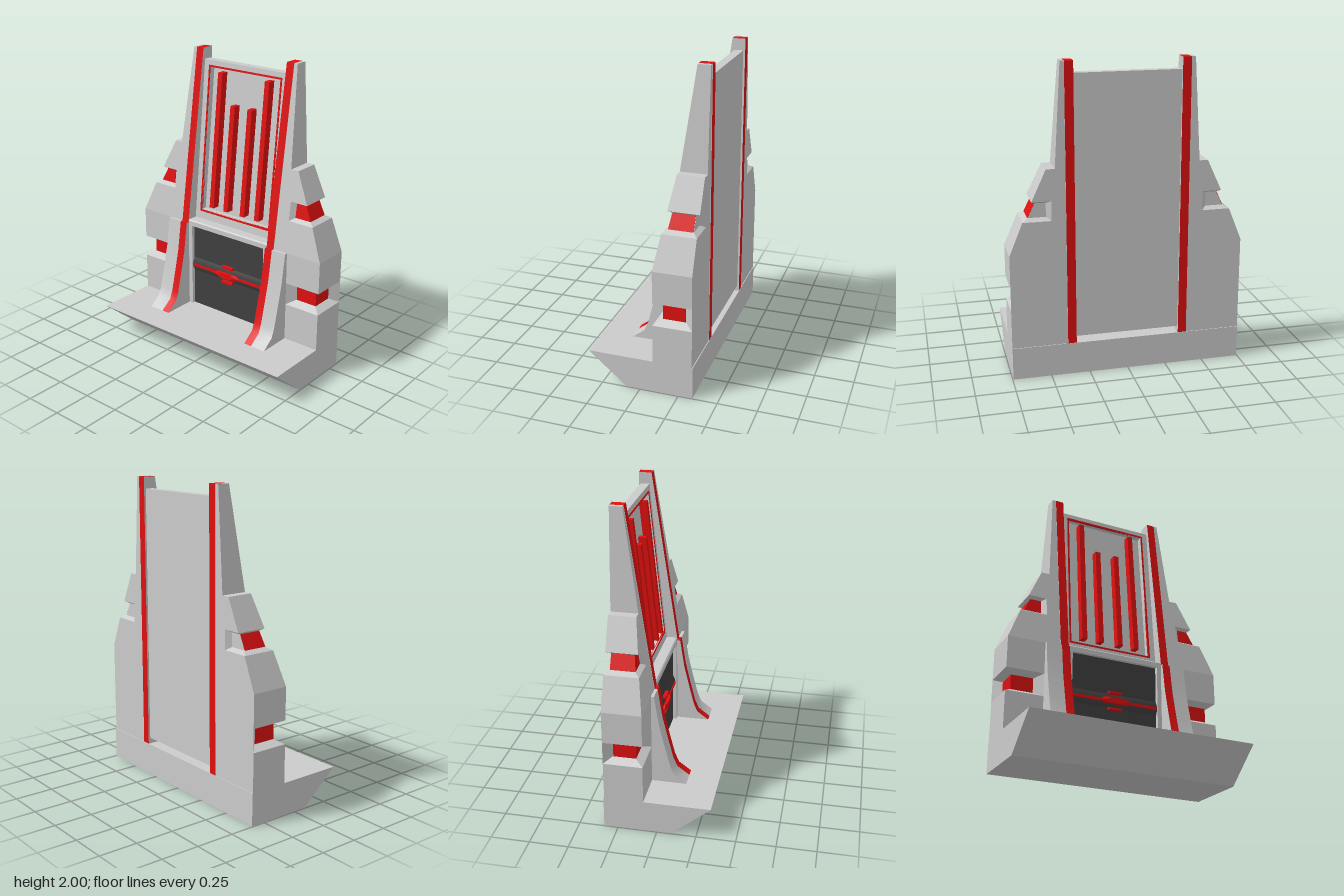
import * as THREE from 'three';
import { toCreasedNormals } from 'three/addons/utils/BufferGeometryUtils.js';

const grey = new THREE.MeshStandardMaterial({ color: 0xcccccc });
const red = new THREE.MeshStandardMaterial({ color: 0xe01010 });
const dark = new THREE.MeshStandardMaterial({ color: 0x404040 });
const BACK = -0.335;

function add(parent, name, geometry, material) {
  const mesh = new THREE.Mesh(geometry, material);
  mesh.name = name;
  parent.add(mesh);
  return mesh;
}

// Extrudes a [z, y] profile along x from x0 to x1
function prism(profile, x0, x1) {
  const shape = new THREE.Shape(profile.map(([z, y]) => new THREE.Vector2(z, y)));
  const geo = new THREE.ExtrudeGeometry(shape, { depth: x1 - x0, bevelEnabled: false });
  geo.rotateY(-Math.PI / 2).translate(x1, 0, 0);
  return toCreasedNormals(geo, 0.6);
}

function box(x0, x1, y0, y1, z0, z1) {
  return new THREE.BoxGeometry(x1 - x0, y1 - y0, z1 - z0)
    .translate((x0 + x1) / 2, (y0 + y1) / 2, (z0 + z1) / 2);
}

// Stacks horizontal loops { y, pts: [x, z] } into a closed flat-shaded solid
function loft(rows) {
  const n = rows[0].pts.length, pos = [], idx = [];
  rows.forEach(({ y, pts }) => pts.forEach(([x, z]) => pos.push(x, y, z)));
  for (let r = 0; r < rows.length - 1; r++) {
    for (let i = 0; i < n; i++) {
      const a = r * n + i, b = r * n + (i + 1) % n;
      idx.push(a, a + n, b, b, a + n, b + n);
    }
  }
  const top = (rows.length - 1) * n;
  for (let i = 1; i < n - 1; i++) idx.push(0, i, i + 1, top, top + i + 1, top + i);
  const geo = new THREE.BufferGeometry();
  geo.setAttribute('position', new THREE.Float32BufferAttribute(pos, 3));
  geo.setIndex(idx);
  const flat = geo.toNonIndexed();
  flat.computeVertexNormals();
  return flat;
}

// Front slope of the side walls
const wallZ = y => -0.085 - 0.144 * Math.max(0, y - 0.82);

// One wall section: outer edge X, notch start d, notch depth, notch open at the back
function wallRow(y, X, d, depth = 0, open = false) {
  const z = wallZ(y), b = open ? d : X, k = open ? depth : 0;
  return { y, pts: [
    [0.39, BACK], [b, BACK], [b + k, BACK + k], [X - depth, BACK + depth],
    [X - depth, z - depth], [d + depth, z - depth], [d, z], [0.39, z],
  ] };
}

// Red core showing inside a notch
function core(y0, X0, y1, X1, x, depth) {
  const row = (y, X) => {
    const z = wallZ(y) - depth + 0.003;
    const back = BACK + depth + 0.002;
    return { y, pts: [[x, back], [X - depth + 0.003, back], [X - depth + 0.003, z], [x, z]] };
  };
  return loft([row(y0, X0), row(y1, X1)]);
}

function createSide() {
  const side = new THREE.Group();
  add(side, 'sideWall', loft([
    wallRow(0.21, 0.745, 0.495),
    wallRow(0.46, 0.745, 0.495),
    wallRow(0.49, 0.745, 0.495, 0.053),
    wallRow(0.585, 0.745, 0.495, 0.053),
    wallRow(0.61, 0.745, 0.495),
    wallRow(0.82, 0.745, 0.495),
    wallRow(1.03, 0.66, 0.48, 0, true),
    wallRow(1.05, 0.652, 0.48, 0.03, true),
    wallRow(1.14, 0.61, 0.48, 0.03, true),
    wallRow(1.155, 0.602, 0.48, 0, true),
    wallRow(1.355, 0.51, 0.45, 0, true),
    wallRow(1.355, 0.455, 0.44, 0, true),
    wallRow(2, 0.415, 0.405, 0, true),
  ]), grey);
  add(side, 'lowerNotchLight', core(0.49, 0.745, 0.585, 0.745, 0.548, 0.053), red);
  add(side, 'upperNotchLight', core(1.05, 0.652, 1.14, 0.61, 0.51, 0.03), red);

  // Curved foot, shared by the buttress and the striped post
  const foot = [[0.14, 0.21], [0.06, 0.27], [0.035, 0.33], [0, 0.47],
    [-0.035, 0.62], [-0.065, 0.82]];
  add(side, 'buttress', prism([[BACK + 0.1, 0.21], ...foot, [BACK + 0.1, 0.82]], 0.39, 0.495), grey);
  const post = [[BACK - 0.003, 0.21], ...foot, [-0.083, 0.82], [-0.253, 2], [BACK - 0.003, 2]];
  add(side, 'stripedPost', prism(post, 0.335, 0.39), [grey, red]);
  return side;
}

// Front slope of the central panel, shifted by o
const panelZ = (y, o = 0) => -0.16 - 0.1 * (y - 0.84) + o;

// Sloped slab following the panel, from behind offset o0 to offset o1
function slab(x0, x1, y0, y1, o0, o1) {
  const back = y => (o0 === null ? -0.325 : panelZ(y, o0));
  return prism([[back(y0), y0], [panelZ(y0, o1), y0], [panelZ(y1, o1), y1], [back(y1), y1]], x0, x1);
}

function createPanel() {
  const panel = new THREE.Group();
  panel.name = 'centrePanel';
  const W = 0.335, w = 0.284, lo = 0.905, hi = 1.88, t = 0.012;
  add(panel, 'recessedPanel', slab(-W, W, 0.84, 1.925, null, -0.04), grey);
  add(panel, 'lowerBackPanel', box(-W, W, 0.25, 0.84, -0.325, -0.28), grey);
  // Frame and its red outline, as four strips each
  const ring = (name, x, X, y0, y1, Y0, Y1, o0, o1, mat) => {
    add(panel, name + 'Left', slab(x, X, y0, y1, o0, o1), mat);
    add(panel, name + 'Right', slab(-X, -x, y0, y1, o0, o1), mat);
    add(panel, name + 'Bottom', slab(-X, X, Y0, y0, o0, o1), mat);
    add(panel, name + 'Top', slab(-X, X, y1, Y1, o0, o1), mat);
  };
  ring('frame', w, W, lo, hi, 0.84, 1.925, -0.041, 0, grey);
  ring('outline', w, w + t, lo, hi, lo - t, hi + t, -0.01, 0.003, red);
  // Raised bars
  for (const [x, top] of [[0.19, 1.855], [0.07, 1.655]]) {
    for (const s of [-1, 1]) {
      add(panel, 'bar', slab(s * x - 0.018, s * x + 0.018, 0.94, top, -0.045, 0.012), red);
    }
  }
  return panel;
}

function createDoorway() {
  const door = new THREE.Group();
  door.name = 'doorway';
  add(door, 'lintel', prism([[-0.325, 0.8], [-0.086, 0.8], [-0.086, 0.832],
    [-0.094, 0.84], [-0.325, 0.84]], -0.335, 0.335), grey);
  for (const s of [-1, 1]) {
    add(door, 'jamb', box(s * 0.32 - 0.015, s * 0.32 + 0.015, 0.21, 0.8, -0.2, -0.086), grey);
  }
  add(door, 'doorLeaf', box(-0.305, 0.305, 0.21, 0.8, -0.2, -0.11), dark);
  add(door, 'doorRidge', prism([[-0.12, 0.465], [-0.11, 0.465], [-0.096, 0.495],
    [-0.096, 0.53], [-0.11, 0.56], [-0.12, 0.56]], -0.305, 0.305), dark);
  add(door, 'doorStripe', box(-0.305, 0.305, 0.5, 0.52, -0.11, -0.091), red);
  // Pointed clasp, tapering to the front
  const clasp = (z, k) => [[0.11, 0], [0.08, 0.02], [-0.08, 0.02], [-0.11, 0],
    [-0.08, -0.02], [0.08, -0.02]].map(([x, y]) => [x * k, -y, z]);
  const geo = loft([clasp(0, 1), clasp(0, 1), clasp(0, 0.5)].map((p, i) => (
    { y: [0, 0.022, 0.034][i], pts: p.map(([x, y]) => [x, y]).reverse() }
  )));
  // Loop order is restored for the upward stack, then the stack is turned to face the front
  const mesh = add(door, 'clasp', geo, red);
  mesh.geometry.rotateX(Math.PI / 2);
  mesh.position.set(0, 0.51, -0.108);
  for (const y of [0.457, 0.567]) {
    add(door, 'claspTab', box(-0.045, 0.045, y - 0.008, y + 0.008, -0.12, -0.086), red);
  }
  return door;
}

export function createModel() {
  const model = new THREE.Group();
  model.name = 'gateTower';
  add(model, 'base', prism([[-0.34, 0], [0.09, 0], [0.34, 0.21], [-0.34, 0.21]], -0.745, 0.745), grey);
  const left = createSide();
  left.name = 'leftSide';
  const right = createSide();
  right.name = 'rightSide';
  right.scale.x = -1;
  model.add(left, right, createPanel(), createDoorway());
  return model;
}
